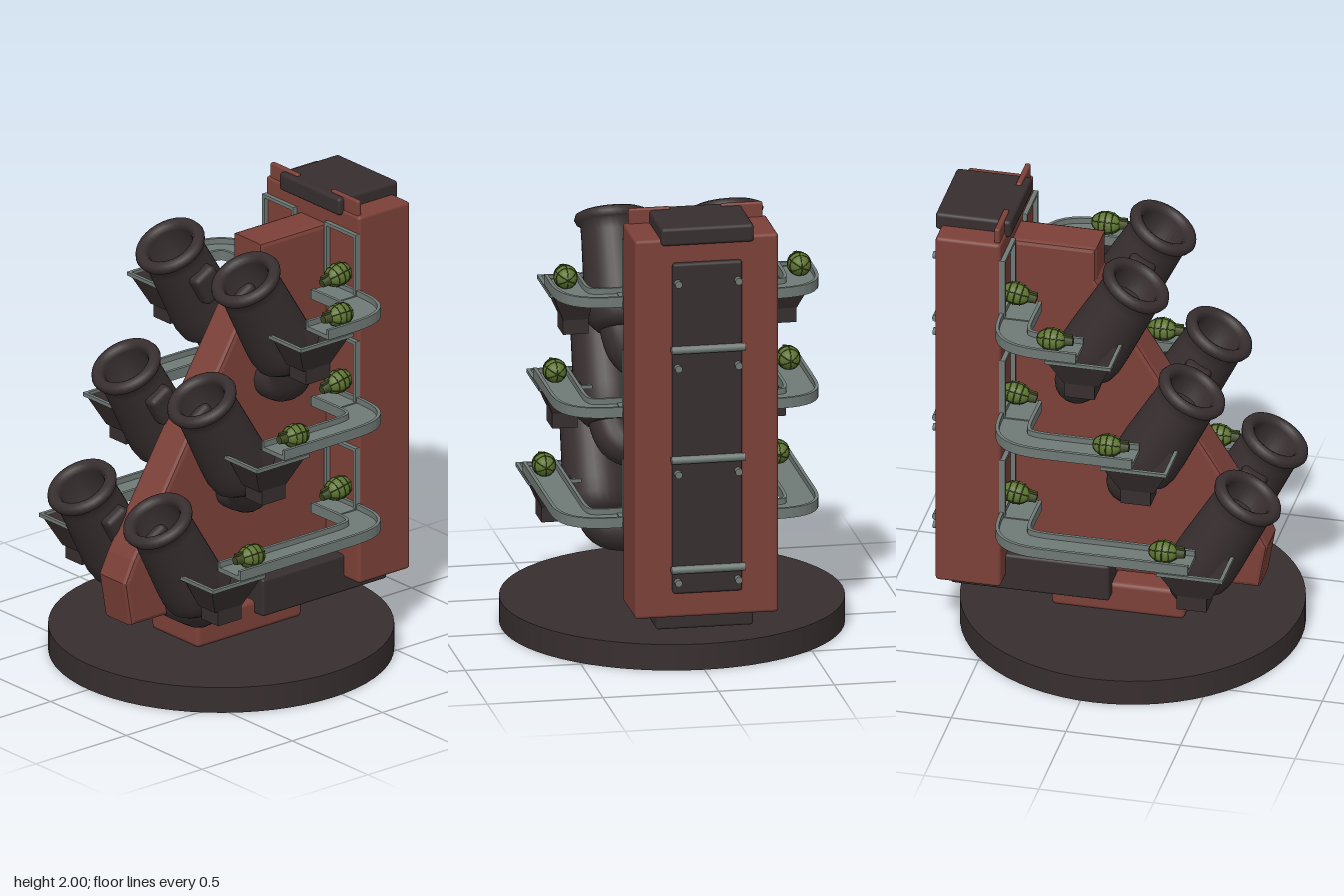
import * as THREE from 'three';
import { RoundedBoxGeometry } from 'three/addons/geometries/RoundedBoxGeometry.js';

const material = (name, color, side = THREE.FrontSide) => {
  const m = new THREE.MeshStandardMaterial({ color, side });
  m.name = name;
  return m;
};
const red = material('brick red', 0x7b4038);
const dark = material('gunmetal', 0x372e2f, THREE.DoubleSide);
const grey = material('rail grey', 0x6f7975);
const olive = material('olive', 0x5d7530);
const darkOlive = material('dark olive', 0x3c4820);

function add(parent, name, geometry, mat, x = 0, y = 0, z = 0) {
  const mesh = new THREE.Mesh(geometry, mat);
  mesh.name = name;
  mesh.position.set(x, y, z);
  parent.add(mesh);
  return mesh;
}

// Box given by its limits, optionally with rounded edges
function block(parent, name, mat, [x0, x1], [y0, y1], [z0, z1], r = 0) {
  const size = [Math.abs(x1 - x0), Math.abs(y1 - y0), Math.abs(z1 - z0)];
  const geo = r ? new RoundedBoxGeometry(...size, 2, r) : new THREE.BoxGeometry(...size);
  return add(parent, name, geo, mat, (x0 + x1) / 2, (y0 + y1) / 2, (z0 + z1) / 2);
}

// Flat strip between two offsets of a ground path, raised to a height
function strip(path, a, b, height) {
  const side = (o) => path.map((p, i) => {
    const t = path[Math.min(i + 1, path.length - 1)].clone().sub(path[Math.max(i - 1, 0)]).normalize();
    return new THREE.Vector2(p.x - t.y * o, p.y + t.x * o);
  });
  const shape = new THREE.Shape([...side(a), ...side(b).reverse()]);
  return new THREE.ExtrudeGeometry(shape, { depth: height, bevelEnabled: false }).rotateX(-Math.PI / 2);
}

// Open hopper: a box without its lid, narrowed at the bottom
function hopperGeometry(s) {
  const geo = new THREE.BoxGeometry(1, 1, 1);
  const index = Array.from(geo.index.array);
  index.splice(12, 6);
  geo.setIndex(index);
  geo.clearGroups();
  const p = geo.attributes.position;
  for (let i = 0; i < p.count; i++) {
    const top = p.getY(i) > 0;
    const outer = p.getX(i) * s > 0;
    const x = outer ? (top ? 0.56 : 0.505) : (top ? 0.38 : 0.395);
    const z = Math.sign(p.getZ(i)) * (top ? 0.14 : 0.075);
    p.setXYZ(i, s * x, top ? 0 : -0.13, z);
  }
  geo.computeVertexNormals();
  return geo;
}

function createGrenade() {
  const g = new THREE.Group();
  g.name = 'grenade';
  add(g, 'grenadeBody', new THREE.SphereGeometry(0.05, 16, 12).scale(1, 1, 1.3), olive);
  // raised grooves around and along the egg
  for (const z of [-0.028, 0, 0.028]) {
    const r = 0.05 * Math.sqrt(1 - (z / 0.065) ** 2);
    add(g, 'grenadeBand', new THREE.TorusGeometry(r, 0.0025, 4, 18), darkOlive, 0, 0, z);
  }
  for (let i = 0; i < 3; i++) {
    const rib = add(g, 'grenadeRib', new THREE.TorusGeometry(0.05, 0.002, 4, 24).scale(1.3, 1, 1).rotateY(Math.PI / 2), darkOlive);
    rib.rotation.z = (i * Math.PI) / 3;
  }
  add(g, 'grenadeCap', new THREE.CylinderGeometry(0.018, 0.024, 0.035, 10).rotateX(Math.PI / 2), darkOlive, 0, 0, 0.075);
  block(g, 'grenadeLever', darkOlive, [-0.008, 0.008], [0.02, 0.03], [0.03, 0.09]);
  return g;
}

const TILT = Math.atan2(0.486, 0.874);

// Barrel with its mouth at the group's origin, tilted forward
function createMortar(s, tier) {
  const g = new THREE.Group();
  g.name = 'mortar';
  const profile = [
    [0, -0.24], [0.1, -0.24], [0.1, -0.03], [0.112, -0.008], [0.13, 0], [0.15, -0.008], [0.158, -0.028],
    [0.15, -0.048], [0.134, -0.058], [0.134, -0.1], [0.146, -0.36], [0.146, -0.43],
    [0.136, -0.48], [0.105, -0.515], [0, -0.52],
  ].map(([r, y]) => new THREE.Vector2(r, y)).reverse();
  add(g, 'barrel', new THREE.LatheGeometry(profile, 32), dark);
  // elbow running inward to the spine
  const drop = [[0, 0], [0.05, -0.01], [0.07, 0.035]][tier];
  const bend = new THREE.CatmullRomCurve3([
    [0, -0.44, 0], [0, -0.52, 0], [-0.03 * s, -0.56 - drop[0] * 0.7, drop[1] * 0.5],
    [-0.09 * s, -0.575 - drop[0], drop[1]], [-0.2 * s, -0.575 - drop[0], drop[1]],
  ].map((p) => new THREE.Vector3(...p)));
  add(g, 'elbowPipe', new THREE.TubeGeometry(bend, 20, 0.092, 18), dark);
  // pivot block
  add(g, 'pivot', new RoundedBoxGeometry(0.12, 0.15, 0.12, 2, 0.025), dark, -0.12 * s, -0.2, 0);
  g.rotation.x = TILT;
  return g;
}

// One side of one tier: mortar, hopper, feed track and ammunition
function createTier(s, tier) {
  const g = new THREE.Group();
  g.name = s > 0 ? 'leftTier' : 'rightTier';
  const y = 0.489 * tier;
  const dz = -0.244 * tier;
  const mortar = createMortar(s, tier);
  mortar.position.set(0.25 * s, 0.828 + y, 0.629 + dz);
  g.add(mortar);

  // hopper with its box and grey rim
  add(g, 'hopper', hopperGeometry(s), dark, 0, 0.565 + y, 0.437 + dz);
  block(g, 'hopperBox', dark, [0.395 * s, 0.505 * s], [0.37 + y, 0.44 + y], [0.365 + dz, 0.495 + dz]);
  for (const z of [0.575, 0.3])
    block(g, 'hopperRim', grey, [0.345 * s, 0.575 * s], [0.56 + y, 0.576 + y], [z - 0.008 + dz, z + 0.008 + dz]);
  block(g, 'hopperRail', grey, [0.56 * s, 0.576 * s], [0.56 + y, 0.576 + y], [0.3 + dz, 0.58 + dz]);

  // curved channel from the tower to the hopper
  const curve = new THREE.CubicBezierCurve(
    new THREE.Vector2(0.5, 0.19), new THREE.Vector2(0.5, 0.41),
    new THREE.Vector2(0.42, 0.375), new THREE.Vector2(0.17, 0.375));
  const path = [new THREE.Vector2(0.5, -0.43 - dz), ...curve.getPoints(16)];
  path.forEach((p) => { p.x *= s; });
  add(g, 'trackFloor', strip(path, -0.07, 0.07, 0.02), grey, 0, 0.58 + y, 0);
  add(g, 'trackLip', strip(path, -0.075, -0.06, 0.045), grey, 0, 0.58 + y, 0);
  add(g, 'trackLip', strip(path, 0.06, 0.075, 0.045), grey, 0, 0.58 + y, 0);
  block(g, 'trackRoot', grey, [0.14 * s, 0.31 * s], [0.57 + y, 0.605 + y], [-0.32, -0.455]);

  // loading frame on the tower
  for (const x of [0.11, 0.3])
    block(g, 'framePost', grey, [(x - 0.008) * s, (x + 0.008) * s], [0.6 + y, 0.88 + y], [-0.455, -0.43]);
  block(g, 'frameTop', grey, [0.102 * s, 0.308 * s], [0.865 + y, 0.88 + y], [-0.455, -0.43]);

  const front = createGrenade();
  front.position.set(0.505 * s, 0.645 + y, 0.31 + dz);
  const back = createGrenade();
  back.position.set(0.23 * s, 0.685 + y, -0.4);
  back.rotation.x = 0.2;
  g.add(front, back);
  return g;
}

export function createModel() {
  const model = new THREE.Group();
  model.name = 'mortarTurret';

  // Base and foot
  add(model, 'base', new THREE.CylinderGeometry(0.735, 0.735, 0.115, 64), dark, 0, 0.0575, 0.055);
  block(model, 'foot', red, [-0.155, 0.155], [0.11, 0.25], [-0.265, 0.315], 0.02);
  block(model, 'chassis', dark, [-0.21, 0.21], [0.19, 0.36], [-0.69, 0], 0.012);

  // Sloping spine, drawn from the side and extruded across
  const outline = [[-0.47, 0.285], [0.61, 0.295], [0.64, 0.47], [0.595, 0.56], [-0.105, 1.68], [-0.105, 1.82], [-0.47, 1.82]];
  const spine = new THREE.ExtrudeGeometry(new THREE.Shape(outline.map(([z, y]) => new THREE.Vector2(z, y))),
    { depth: 0.144, bevelSize: 0.02, bevelThickness: 0.02, bevelSegments: 2 });
  spine.translate(0, 0, -0.072).rotateY(-Math.PI / 2);
  add(model, 'spine', spine, red);

  // Tower, its cap and front tabs
  block(model, 'tower', red, [-0.31, 0.31], [0.255, 1.935], [-0.735, -0.45], 0.015);
  block(model, 'towerCap', dark, [-0.2, 0.2], [1.91, 1.99], [-0.76, -0.43], 0.015);
  for (const s of [1, -1])
    block(model, 'towerTab', red, [0.11 * s, 0.29 * s], [1.9, 2.0], [-0.482, -0.458], 0.008);

  // Back hatch with crossbars and bolts
  block(model, 'backHatch', dark, [-0.15, 0.15], [0.365, 1.83], [-0.758, -0.7], 0.012);
  for (const y of [0.475, 0.962, 1.45])
    add(model, 'hatchBar', new THREE.CylinderGeometry(0.017, 0.017, 0.32, 10).rotateZ(Math.PI / 2), grey, 0, y, -0.767);
  for (const y of [0.42, 0.9, 1.37, 1.745])
    for (const x of [-0.13, 0.13])
      add(model, 'hatchBolt', new THREE.CylinderGeometry(0.016, 0.016, 0.035, 10).rotateX(Math.PI / 2), grey, x, y, -0.767);

  // Three tiers on each side
  for (const s of [1, -1])
    for (let tier = 0; tier < 3; tier++) model.add(createTier(s, tier));
  return model;
}
